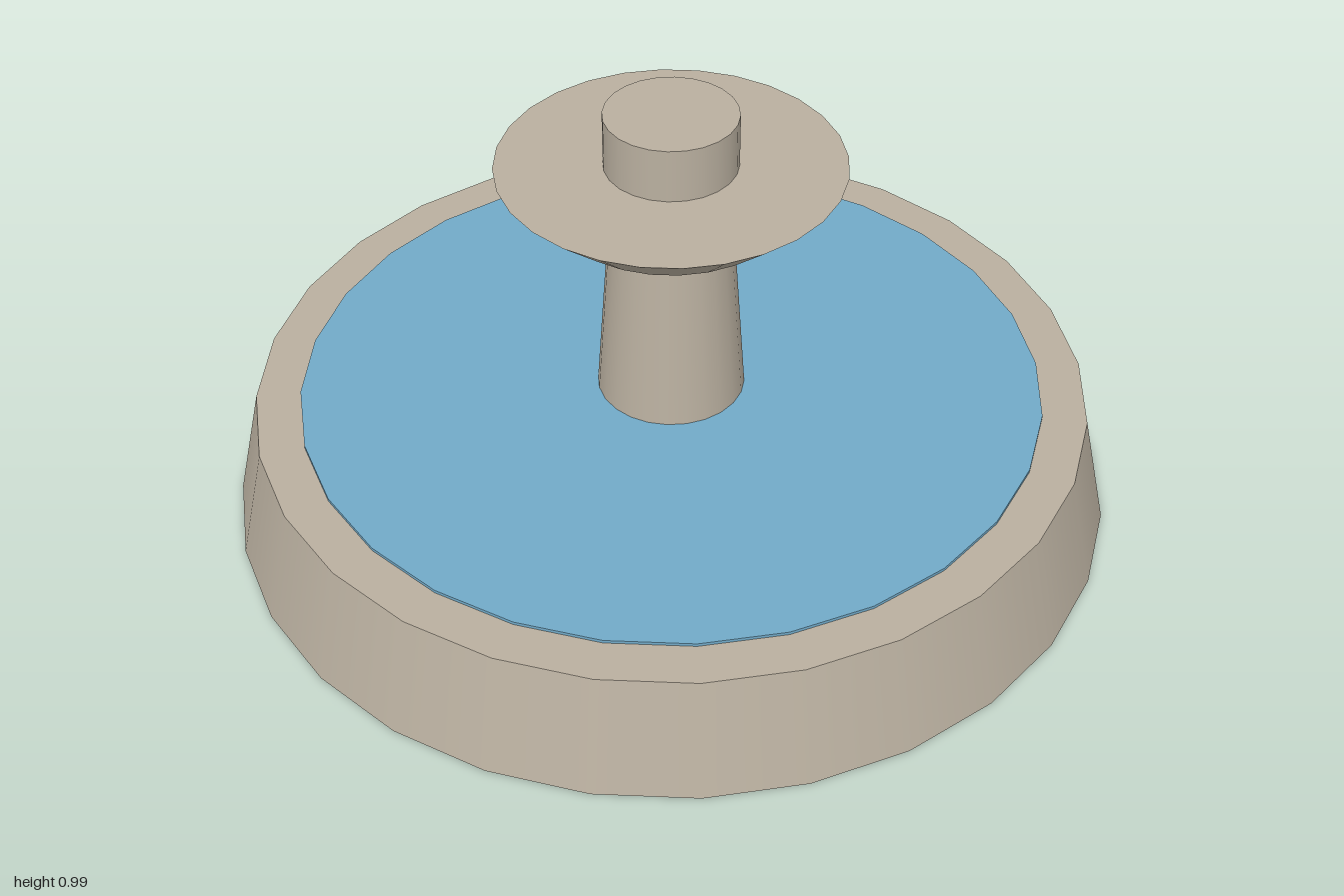
import * as THREE from 'three';

export function createModel() {
  const fountain = new THREE.Group();
  fountain.name = 'fountain';

  const stone = new THREE.MeshStandardMaterial({ color: 0xbab0a0 });
  stone.name = 'stone';
  const water = new THREE.MeshStandardMaterial({ color: 0x72aac8 });
  water.name = 'water';

  // Upright round part between two heights
  function addRound(name, material, bottomRadius, topRadius, y0, y1, sides) {
    const geometry = new THREE.CylinderGeometry(topRadius, bottomRadius, y1 - y0, sides);
    const mesh = new THREE.Mesh(geometry, material);
    mesh.name = name;
    mesh.position.y = (y0 + y1) / 2;
    fountain.add(mesh);
  }

  // Wide basin with a thin sheet of water on top
  addRound('basin', stone, 1, 0.94, 0, 0.268, 28);
  addRound('waterSurface', water, 0.84, 0.84, 0.266, 0.275, 28);

  // Tapered column, flared upper bowl and finial
  addRound('column', stone, 0.167, 0.132, 0.268, 0.765, 24);
  addRound('upperBowl', stone, 0.265, 0.38, 0.76, 0.862, 28);
  addRound('finial', stone, 0.146, 0.146, 0.855, 0.986, 24);

  return fountain;
}
